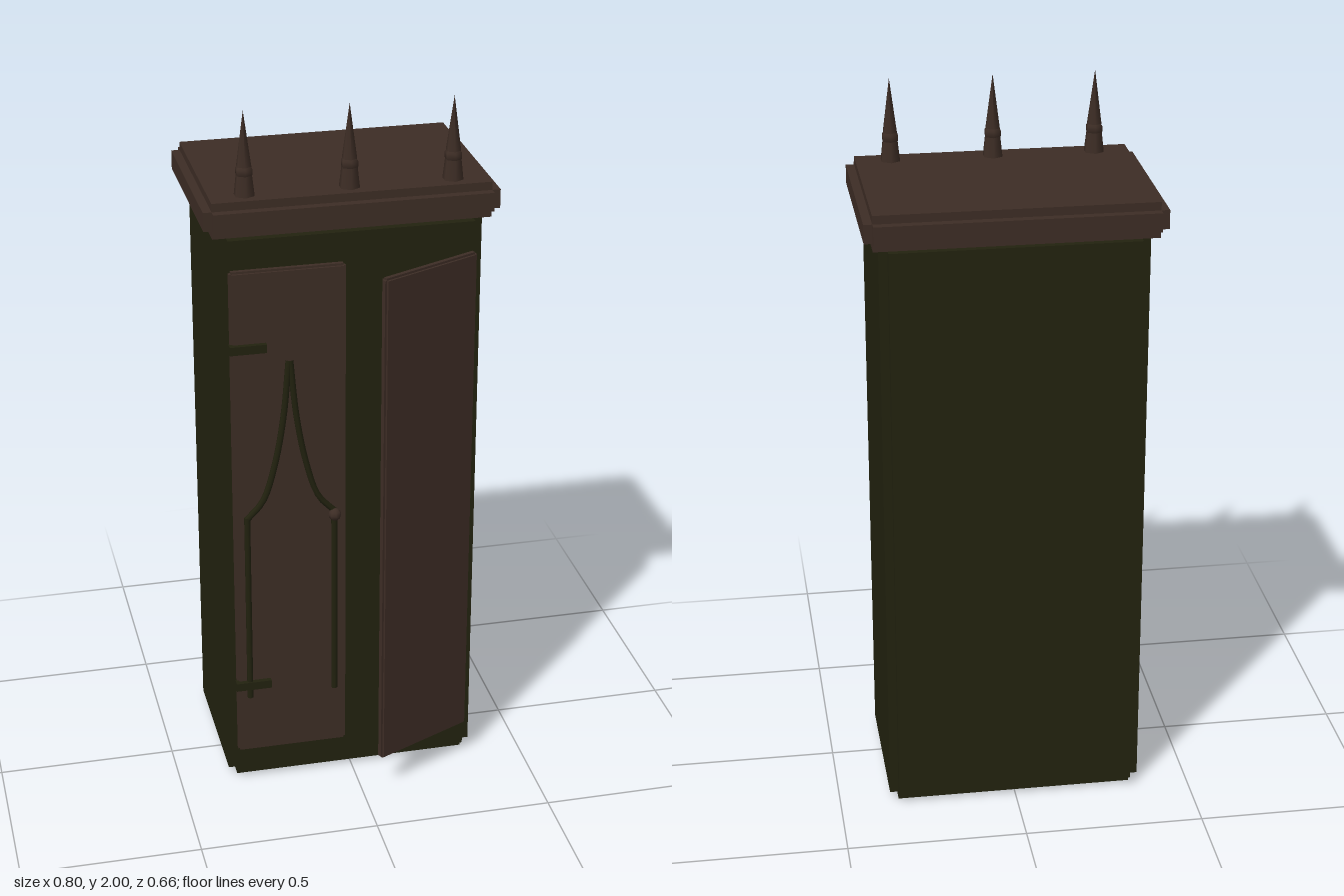
import * as THREE from 'three';

export function createModel() {
  const model = new THREE.Group();
  model.name = 'cabinet';
  const mat = (name, color) => {
    const m = new THREE.MeshStandardMaterial({ color });
    m.name = name;
    return m;
  };
  const wood = mat('dark brown wood', 0x3d2d25);
  const green = mat('dark olive paint', 0x22220f);
  const woodFlat = wood;

  const add = (parent, name, geometry, material, x = 0, y = 0, z = 0) => {
    const mesh = new THREE.Mesh(geometry, material);
    mesh.name = name;
    mesh.position.set(x, y, z);
    parent.add(mesh);
    return mesh;
  };

  // Box with stepped edges: three slabs, each full size along one axis only
  const steppedBox = (name, material, size, centre, step) => {
    const group = new THREE.Group();
    group.name = name;
    group.position.set(...centre);
    for (let axis = 0; axis < 3; axis++) {
      const s = size.map((v, i) => (i === axis ? v : v - 2 * step));
      add(group, name + 'Slab', new THREE.BoxGeometry(...s), material);
    }
    model.add(group);
    return group;
  };

  // Carcass and lid
  steppedBox('body', green, [0.716, 1.685, 0.476], [0, 0.8425, -0.058], 0.024);
  steppedBox('lid', wood, [0.796, 0.098, 0.544], [0, 1.722, -0.061], 0.023);

  // Closed door and the door standing ajar on its outer edge
  steppedBox('closedDoor', wood, [0.314, 1.475, 0.024], [-0.179, 0.8425, 0.189], 0.006);
  const ajar = 0.44, half = 0.157;
  const openDoor = steppedBox('openDoor', wood, [2 * half, 1.475, 0.024],
    [0.333 - half * Math.cos(ajar), 0.8425, 0.189 + half * Math.sin(ajar)], 0.006);
  openDoor.rotation.y = ajar;

  // Hinge straps
  for (const y of [0.326, 1.363]) {
    add(model, 'hingeStrap', new THREE.BoxGeometry(0.1, 0.024, 0.024), green, -0.29, y, 0.203);
  }

  // Pointed arch moulding: mirrored pairs of a post and a curved rib
  const archX = -0.178;
  for (const side of [-1, 1]) {
    const at = (dx, y) => new THREE.Vector3(archX + side * dx, y, 0.204);
    const rib = new THREE.CatmullRomCurve3([
      at(0.122, 0.855), at(0.078, 0.905), at(0.044, 1.01), at(0.018, 1.153), at(0.002, 1.32),
    ]);
    add(model, 'archRib', new THREE.TubeGeometry(rib, 20, 0.009, 6), green);
    add(model, 'archPost', new THREE.CylinderGeometry(0.009, 0.009, 0.575, 6), green,
      archX + side * 0.122, 0.5725, 0.204);
  }
  add(model, 'doorKnob', new THREE.SphereGeometry(0.018, 8, 6), wood, -0.056, 0.846, 0.212);

  // Spiked finials along the front of the lid
  for (const x of [-0.28, 0, 0.28]) {
    const finial = new THREE.Group();
    finial.name = 'finial';
    finial.position.set(x, 1.77, 0.14);
    add(finial, 'finialBase', new THREE.CylinderGeometry(0.022, 0.029, 0.06, 6), woodFlat, 0, 0.03);
    add(finial, 'finialBead', new THREE.SphereGeometry(0.025, 6, 5), woodFlat, 0, 0.066).rotation.y = Math.PI / 2;
    add(finial, 'finialSpike', new THREE.ConeGeometry(0.021, 0.15, 6), woodFlat, 0, 0.155);
    model.add(finial);
  }
  return model;
}
